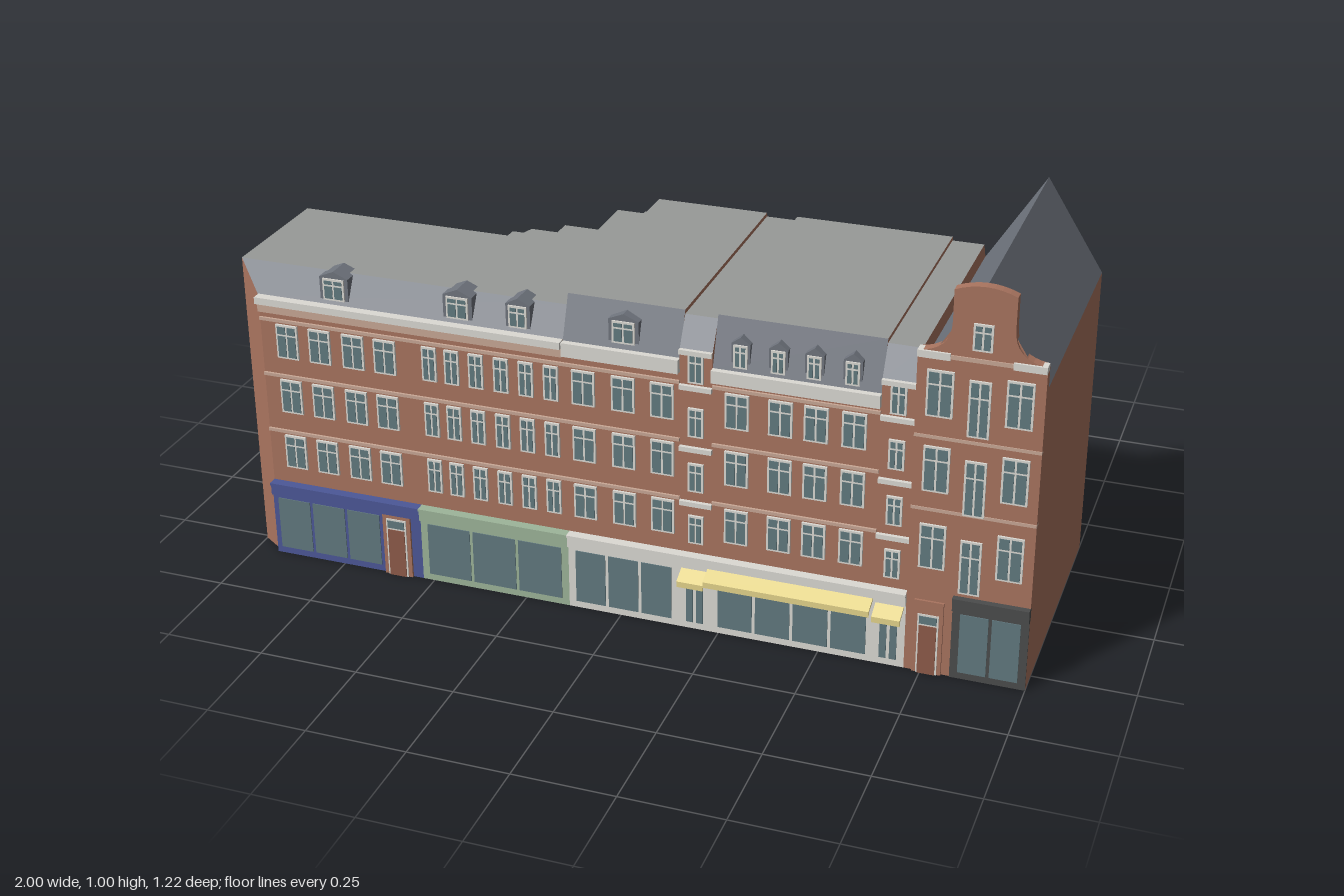
import * as THREE from 'three';

const mat = (color, extra = {}) => new THREE.MeshStandardMaterial({ color, ...extra });
const M = {
  brick: mat(0xa9745f), slate: mat(0x70757e), flat: mat(0x989a98), glass: mat(0x627a80),
  white: mat(0xdcdad4), band: mat(0xc9a896), awning: mat(0xe6d68c, { side: THREE.DoubleSide }),
  blue: mat(0x4c5898), green: mat(0x9db59a), dark: mat(0x4b4c4c), door: mat(0x8f5c4a),
};

function add(parent, name, geo, material) {
  const mesh = new THREE.Mesh(geo, material);
  mesh.name = name;
  parent.add(mesh);
  return mesh;
}

// Box given by its limits
function box(parent, name, material, x0, x1, y0, y1, z0, z1) {
  const mesh = add(parent, name, new THREE.BoxGeometry(x1 - x0, y1 - y0, z1 - z0), material);
  mesh.position.set((x0 + x1) / 2, (y0 + y1) / 2, (z0 + z1) / 2);
  return mesh;
}

// Solid through footprint rings [y, [[x, z], ...]]: upright faces brick, sloping faces slate, top flat grey
function loft(parent, name, rings) {
  const upright = [], sloping = [], cap = [], base = [];
  const a = new THREE.Vector3(), b = new THREE.Vector3(), c = new THREE.Vector3();
  const tri = (p, q, r) => {
    a.set(...p); b.set(...q); c.set(...r);
    const n = b.clone().sub(a).cross(c.clone().sub(a));
    if (n.length() < 1e-9) return;
    (n.normalize().y > 0.05 ? sloping : upright).push(...p, ...q, ...r);
  };
  for (let k = 0; k + 1 < rings.length; k++) {
    const [y0, lo] = rings[k], [y1, hi] = rings[k + 1];
    lo.forEach((p, i) => {
      const j = (i + 1) % lo.length;
      const A = [p[0], y0, p[1]], B = [lo[j][0], y0, lo[j][1]];
      const C = [hi[j][0], y1, hi[j][1]], D = [hi[i][0], y1, hi[i][1]];
      tri(A, B, C);
      tri(A, C, D);
    });
  }
  const fill = ([y, pts], out, up) => {
    const flat = pts.map(([x, z]) => new THREE.Vector2(x, -z));
    for (const f of THREE.ShapeUtils.triangulateShape(flat, []))
      for (const i of up ? f : [...f].reverse()) out.push(pts[i][0], y, pts[i][1]);
  };
  fill(rings[0], base, false);
  fill(rings[rings.length - 1], cap, true);
  const group = new THREE.Group();
  group.name = name;
  const parts = [['walls', upright, M.brick], ['slopes', sloping, M.slate], ['flatRoof', cap, M.flat], ['underside', base, M.brick]];
  for (const [part, pos, material] of parts) {
    if (!pos.length) continue;
    const geo = new THREE.BufferGeometry();
    geo.setAttribute('position', new THREE.Float32BufferAttribute(pos, 3));
    geo.computeVertexNormals();
    add(group, part, geo, material);
  }
  parent.add(group);
}

const rect = (x0, x1, zf, zb) => [[x0, zf], [x1, zf], [x1, zb], [x0, zb]];

// Sash window: pale frame with a 2 x 2 set of panes; dir is +1 facing front, -1 facing back
function sash(parent, x, y, w, h, z, dir = 1) {
  const g = new THREE.Group();
  g.name = 'window';
  box(g, 'frame', M.white, -w / 2, w / 2, -h / 2, h / 2, -0.004, 0.004);
  const t = 0.005, split = h * 0.2;
  for (const [x0, x1] of [[-w / 2 + t, -t / 2], [t / 2, w / 2 - t]])
    for (const [y0, y1] of [[-h / 2 + t, split - t / 2], [split + t / 2, h / 2 - t]])
      box(g, 'pane', M.glass, x0, x1, y0, y1, -0.003, 0.0055);
  g.position.set(x, y, z);
  if (dir < 0) g.rotation.y = Math.PI;
  parent.add(g);
}

// Little peaked dormer window on the front slope
function dormer(parent, x, y0, w, h) {
  const g = new THREE.Group();
  g.name = 'dormer';
  const s = new THREE.Shape([[-w / 2, 0], [w / 2, 0], [w / 2, h * 0.8], [0, h], [-w / 2, h * 0.8]].map(p => new THREE.Vector2(...p)));
  add(g, 'body', new THREE.ExtrudeGeometry(s, { depth: 0.06, bevelEnabled: false }), M.slate);
  g.position.set(x, y0, 0.483);
  sash(g, 0, h * 0.42, w * 0.75, h * 0.7, 0.06);
  parent.add(g);
}

// Sloping canvas awning with a short valance
function awning(parent, x0, x1, y, z, drop) {
  const s = new THREE.Shape([[0.555, y], [z, y - drop], [z, y - drop - 0.015], [z - 0.004, y - drop - 0.015], [z - 0.004, y - drop - 0.004], [0.555, y - 0.006]].map(p => new THREE.Vector2(...p)));
  const mesh = add(parent, 'awning', new THREE.ExtrudeGeometry(s, { depth: x1 - x0, bevelEnabled: false }), M.awning);
  mesh.rotation.y = -Math.PI / 2;
  mesh.position.x = x1;
}

// Shopfront: coloured surround, fascia and equal glass bays
function shop(parent, material, x0, x1, g0, g1, bays, top = 0.205, z = 0.562) {
  const g = new THREE.Group();
  g.name = 'shopfront';
  box(g, 'surround', material, x0, x1, 0, top, z - 0.02, z);
  box(g, 'fascia', material, x0, x1, top - 0.035, top, z - 0.01, z + 0.008);
  box(g, 'fasciaLedge', material, x0, x1, top - 0.006, top, z - 0.01, z + 0.013);
  const w = (g1 - g0) / bays;
  for (let i = 0; i < bays; i++)
    box(g, 'shopWindow', M.glass, g0 + i * w + 0.004, g0 + (i + 1) * w - 0.004, 0.018, top - 0.045, z - 0.01, z + 0.002);
  parent.add(g);
}

function door(parent, x, w, h, z) {
  box(parent, 'doorSurround', M.brick, x - w / 2, x + w / 2, 0, h + 0.035, z - 0.02, z + 0.004);
  box(parent, 'doorFrame', M.white, x - w * 0.36, x + w * 0.36, 0, h, z - 0.01, z + 0.006);
  box(parent, 'doorLeaf', M.door, x - w * 0.3, x + w * 0.3, 0, h - 0.03, z - 0.01, z + 0.008);
  box(parent, 'fanlight', M.glass, x - w * 0.3, x + w * 0.3, h - 0.025, h - 0.005, z - 0.01, z + 0.008);
}

export function createModel() {
  const model = new THREE.Group();
  model.name = 'terraceOfBuildings';

  // West block with its cut corner, stepped rear and mansard slopes
  const steps = [[-0.14, -0.14], [-0.17, -0.09], [-0.17, -0.08], [-0.24, -0.08], [-0.24, 0.06], [-0.33, 0.06], [-0.33, 0.11], [-0.4, 0.11], [-0.41, 0.14], [-0.439, 0.14]];
  const west = [[-1, 0.51], [-0.94, 0.55], [-0.14, 0.55], ...steps, [-0.44, 0.14], [-1, 0.14]];
  const westTop = [[-1, 0.51], [-1, 0.51], [-0.14, 0.51], ...steps, [-0.44, 0.17], [-1, 0.17]];
  loft(model, 'westBlock', [[0, west], [0.715, west], [0.79, westTop]]);

  // Middle sections, each with its own eaves and roof height
  for (const [x0, x1, eave, top] of [[-0.14, 0.15, 0.712, 0.82], [0.15, 0.23, 0.74, 0.81], [0.23, 0.63, 0.7, 0.82], [0.63, 0.71, 0.74, 0.81]]) {
    const foot = rect(x0, x1, 0.55, -0.15);
    loft(model, 'middleBlock', [[0, foot], [eave, foot], [top, rect(x0, x1, 0.51, -0.115)]]);
  }

  // Gabled house at the east end
  const house = rect(0.71, 1, 0.555, -0.13);
  loft(model, 'gabledHouse', [[0, house], [0.77, house], [1, rect(0.855, 0.855, 0.555, -0.13)]]);
  const gable = new THREE.Shape();
  gable.moveTo(0.71, 0);
  gable.lineTo(1, 0);
  gable.lineTo(1, 0.83);
  gable.bezierCurveTo(0.95, 0.835, 0.925, 0.86, 0.925, 0.91);
  gable.lineTo(0.925, 0.985);
  gable.quadraticCurveTo(0.855, 1.015, 0.785, 0.985);
  gable.lineTo(0.785, 0.91);
  gable.bezierCurveTo(0.785, 0.86, 0.76, 0.835, 0.71, 0.83);
  const front = add(model, 'shapedGable', new THREE.ExtrudeGeometry(gable, { depth: 0.025, bevelEnabled: false, curveSegments: 8 }), M.brick);
  front.position.z = 0.537;

  // Low rear extensions
  const low = (name, h, pts) => loft(model, name, [[0, pts], [h, pts]]);
  low('rearExtension', 0.185, [[-0.14, -0.15], [0.71, -0.15], [0.71, -0.495], [0.26, -0.495], [0.26, -0.61], [0.18, -0.61], [0.18, -0.48], [-0.14, -0.42]]);
  low('rearLowPart', 0.14, [[-0.14, -0.42], [0.18, -0.48], [0.18, -0.61], [0.12, -0.61], [0.12, -0.5], [-0.14, -0.5]]);
  low('rearUpperPart', 0.285, [[0.18, -0.15], [0.71, -0.15], [0.71, -0.245], [0.19, -0.27]]);

  // Front windows of the long facade
  const wide = [-0.868, -0.78, -0.69, -0.605, -0.09, 0.01, 0.107, 0.29, 0.395, 0.48, 0.57];
  const narrow = [-0.487, -0.428, -0.365, -0.3, -0.236, -0.172];
  for (const y of [0.295, 0.45, 0.6]) {
    for (const x of wide) sash(model, x, y, 0.058, 0.09, 0.552);
    for (const x of narrow) sash(model, x, y, 0.038, 0.09, 0.552);
  }
  for (const x of [0.19, 0.67])
    for (const y of [0.27, 0.41, 0.555, 0.695]) sash(model, x, y, 0.038, 0.075, 0.552);

  // Front windows of the gabled house
  for (const y of [0.34, 0.54, 0.73])
    for (const x of [0.765, 0.945]) sash(model, x, y, 0.062, 0.115, 0.563);
  for (const y of [0.3, 0.505, 0.705]) sash(model, 0.855, y, 0.05, 0.14, 0.563);
  sash(model, 0.855, 0.88, 0.045, 0.065, 0.563);

  // Rear windows
  for (const y of [0.08, 0.26, 0.44, 0.61])
    for (const x of [-0.91, -0.8, -0.69, -0.58, -0.48]) sash(model, x, y, 0.055, 0.085, 0.138, -1);
  for (const y of [0.08, 0.27, 0.48, 0.69])
    for (const x of [0.77, 0.86, 0.95]) sash(model, x, y, 0.055, 0.085, -0.132, -1);
  for (const x of [0.36, 0.48, 0.6]) sash(model, x, 0.095, 0.055, 0.07, -0.497, -1);
  for (const x of [-0.08, 0.05]) sash(model, x, 0.08, 0.055, 0.06, -0.502, -1);

  // Cornices and string courses
  const course = (material, x0, x1, y0, y1, z1) => box(model, 'stringCourse', material, x0, x1, y0, y1, 0.54, z1);
  course(M.white, -0.94, -0.14, 0.7, 0.718, 0.572);
  course(M.band, -0.94, -0.14, 0.675, 0.7, 0.56);
  course(M.white, -0.14, 0.15, 0.68, 0.715, 0.565);
  course(M.white, 0.23, 0.63, 0.67, 0.702, 0.565);
  for (const y of [0.35, 0.505, 0.655]) {
    course(M.band, -0.94, 0.15, y - 0.004, y + 0.004, 0.556);
    course(M.band, 0.23, 0.63, y - 0.004, y + 0.004, 0.556);
  }
  for (const [x0, x1] of [[0.15, 0.23], [0.63, 0.71]])
    for (const y of [0.34, 0.485, 0.645, 0.735]) course(M.white, x0, x1, y - 0.006, y + 0.006, 0.56);
  course(M.white, 0.71, 0.785, 0.815, 0.832, 0.568);
  course(M.white, 0.925, 1, 0.815, 0.832, 0.568);
  course(M.band, 0.785, 0.925, 0.818, 0.828, 0.565);
  for (const y of [0.435, 0.62]) course(M.band, 0.71, 1, y - 0.004, y + 0.004, 0.564);

  // Dormers
  for (const [x, w] of [[-0.735, 0.075], [-0.41, 0.075], [-0.255, 0.062], [0.01, 0.075]]) dormer(model, x, 0.722, w, 0.08);
  for (const x of [0.295, 0.385, 0.47, 0.56]) dormer(model, x, 0.703, 0.045, 0.083);

  // Shopfronts, doors and awnings
  shop(model, M.blue, -0.94, -0.53, -0.93, -0.64, 3);
  door(model, -0.595, 0.075, 0.16, 0.564);
  shop(model, M.green, -0.53, -0.135, -0.515, -0.15, 3);
  shop(model, M.white, -0.135, 0.15, -0.12, 0.135, 3);
  shop(model, M.white, 0.15, 0.23, 0.165, 0.215, 2);
  shop(model, M.white, 0.23, 0.63, 0.245, 0.62, 4);
  shop(model, M.white, 0.63, 0.71, 0.645, 0.695, 2);
  door(model, 0.765, 0.07, 0.16, 0.564);
  shop(model, M.dark, 0.82, 1, 0.835, 0.985, 2, 0.22, 0.565);
  awning(model, 0.225, 0.632, 0.185, 0.607, 0.022);
  awning(model, 0.157, 0.223, 0.17, 0.6, 0.022);
  awning(model, 0.637, 0.705, 0.17, 0.6, 0.022);

  return model;
}
